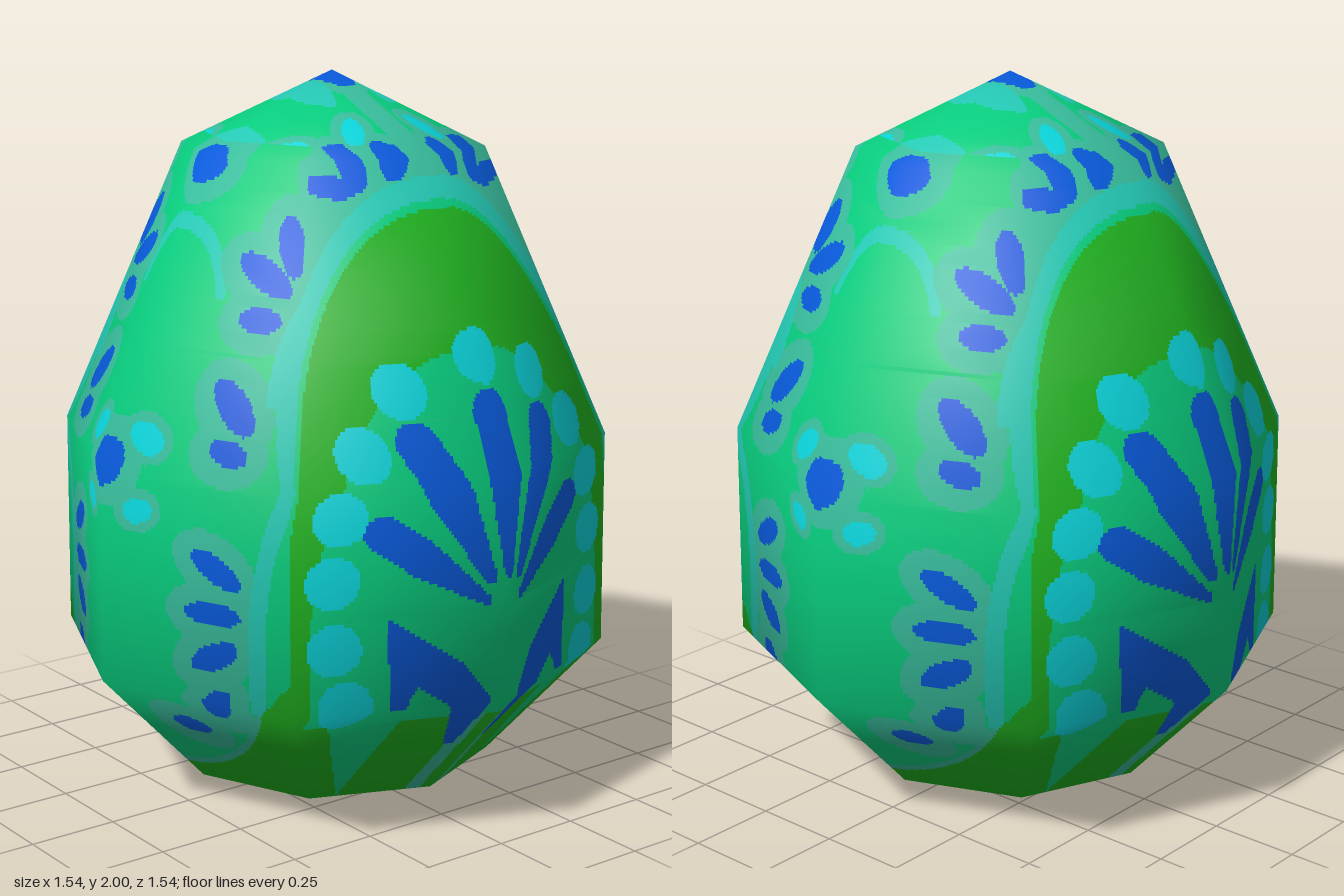
import * as THREE from 'three';

// Egg outline, bottom to top: [radius, height], turned in eight flat sectors
const PROFILE = [[0, 0], [0.45, 0.065], [0.77, 0.41], [0.765, 1.01], [0.42, 1.8], [0, 2]];
const SECTORS = 8, COLS = 80, STEP = 0.01;

// Colours, one mesh per painted layer
const PAINT = {
  shell: ['baseGreen', 0x08cc7e],
  archBand: ['grassGreen', 0x20b220],
  blueLeaves: ['blue', 0x085adb],
  cyanDots: ['cyan', 0x0ad4da],
  leafHalo: ['dullTeal', 0x38bd9c],
  archRim: ['aqua', 0x24c8b4],
};

// Spots are [u, v, half length, half width, angle in degrees]
const SIDE_LEAVES = [
  [0, 1.775, 0.075, 0.047, 0], [0, 1.02, 0.065, 0.065, 0],
  [0.38, 1.77, 0.06, 0.033, 150],
  [0.33, 1.59, 0.085, 0.033, 118], [0.285, 1.515, 0.095, 0.034, 152], [0.31, 1.405, 0.06, 0.032, 175],
  [0.32, 1.19, 0.09, 0.038, 138], [0.345, 1.08, 0.058, 0.03, 165],
  [0.335, 0.775, 0.08, 0.034, 148], [0.325, 0.655, 0.08, 0.032, 180],
  [0.33, 0.54, 0.073, 0.034, 208], [0.33, 0.405, 0.058, 0.033, 225],
  [0.17, 0.3, 0.052, 0.029, 180],
];
const SIDE_DOTS = [[0.11, 1.09, 0.058, 0.035, 150], [0.11, 0.9, 0.045, 0.033, 20]];
const TOP_LEAVES = [[0, 0, 0.08, 0.05, 90], [0.1, 0.36, 0.06, 0.036, 80], [0.18, 0.325, 0.07, 0.031, 120]];
const TOP_DOTS = [[0.12, 0.25, 0.06, 0.03, 60], [0.3, 0.2, 0.06, 0.035, 130]];
const TOP_ARCS = [[0.1, 0, 0.14, 0.045, 90], [0.32, 0, 0.13, 0.035, 90]];
const FRONT_LEAVES = [[0.09, 1.8, 0.06, 0.036, 110], [0.2, 1.79, 0.07, 0.034, 80], [0.265, 1.735, 0.065, 0.03, 10], [0.4, 1.78, 0.05, 0.02, 80]];
const FRONT_DOTS = [[0, 1.31], [0.222, 1.235], [0.348, 1.085], [0.42, 0.93], [0.44, 0.765], [0.437, 0.585], [0.41, 0.43]]
  .map(([u, v]) => [u, v, 0.07, 0.068, 90]);
// Fan of petals: [foot u, foot v, tip u, tip v, half width]
const PETALS = [[0, 0.76, 0, 1.175, 0.053], [0.045, 0.745, 0.208, 1.105, 0.054], [0.058, 0.69, 0.315, 0.885, 0.048]];
const LOWER_PETAL = [[0.305, 0.66], [0.3, 0.41], [0.26, 0.415], [0.23, 0.47], [0.14, 0.4], [0.075, 0.25], [0.05, 0.25], [0.045, 0.42], [0.12, 0.525]];

const inSpots = (list, u, v, grow = 0) => list.some(([cu, cv, a, b, deg]) => {
  const t = deg * Math.PI / 180, c = Math.cos(t), s = Math.sin(t);
  const p = ((u - cu) * c + (v - cv) * s) / (a + grow);
  const q = ((v - cv) * c - (u - cu) * s) / (b + grow);
  return p * p + q * q < 1;
});

const inPetals = (u, v) => PETALS.some(([u0, v0, u1, v1, w]) => {
  const du = u1 - u0, dv = v1 - v0;
  const t = THREE.MathUtils.clamp(((u - u0) * du + (v - v0) * dv) / (du * du + dv * dv), 0, 1);
  return Math.hypot(u - u0 - du * t, v - v0 - dv * t) < w * (0.27 + 0.73 * Math.min(1, t * 1.7));
});

const inPolygon = (poly, u, v) => poly.reduce((inside, [ua, va], i) => {
  const [ub, vb] = poly[(i + 1) % poly.length];
  return (va > v) !== (vb > v) && u < ua + (v - va) / (vb - va) * (ub - ua) ? !inside : inside;
}, false);

// Crown: leaves, dots, pale arcs and the thin seam stripe
function paintCrown(x, z) {
  if (inSpots(TOP_LEAVES, x, z)) return 'blueLeaves';
  if (inSpots(TOP_DOTS, x, z)) return 'cyanDots';
  if (inSpots(TOP_ARCS, x, z)) return 'archRim';
  if (x < 0.04 && z > 0.1) return 'leafHalo';
  if (inSpots(TOP_LEAVES, x, z, 0.035) || inSpots(TOP_DOTS, x, z, 0.03)) return 'leafHalo';
  return z > 0.33 ? 'leafHalo' : 'shell';
}

// Panel inside the arch: petal fan, ring of dots and ragged lower edge
function paintPanel(x, y) {
  if (inPetals(x, y) || inPolygon(LOWER_PETAL, x, y)) return 'blueLeaves';
  if (inSpots(FRONT_DOTS, x, y)) return 'cyanDots';
  if (y < 0.37) return x > 0.25 && x < 0.27 + 0.6 * (y - 0.1) ? 'shell' : 'archBand';
  return Math.hypot(x / 0.495, Math.max(0, y - 0.6) / 0.73) < 1 ? 'shell' : 'archBand';
}

// Chooses the paint at a point of the shell; the pattern mirrors in x and z
function paintAt(px, y, pz, r) {
  const x = Math.abs(px), z = Math.abs(pz), front = z >= x;
  if (y > 1.83) return paintCrown(x, z);
  // Pair of stem stripes running under the egg
  if (y < 0.37 && x > 0.03 && x < 0.07 && !inPolygon(LOWER_PETAL, x, y)) return 'leafHalo';
  const spread = y < 0.41 ? x * 0.77 / Math.max(r, 0.01) : x;
  const arch = Math.hypot(spread / 0.56, Math.max(0, y - 0.6) / 1.075);
  const hem = y - 0.12 - 1.15 * Math.pow(z, 1.8);
  if (front && arch < 1) return paintPanel(x, y);
  if (hem < 0) return 'archBand';
  if (front) {
    if (inSpots(FRONT_LEAVES, x, y)) return 'blueLeaves';
  } else {
    if (inSpots(SIDE_LEAVES, z, y)) return 'blueLeaves';
    if (inSpots(SIDE_DOTS, z, y)) return 'cyanDots';
  }
  // Rim of the arch, wider towards its top
  if (arch < 1.02) return 'shell';
  if (arch < (y > 1.2 ? 1.075 : 1.055) && y > 0.4) return 'archRim';
  if (front || hem < 0.02) return 'leafHalo';
  if (inSpots(SIDE_LEAVES, z, y, 0.055) || inSpots(SIDE_DOTS, z, y, 0.025)) return 'leafHalo';
  // Pale arc over the bare oval of the side
  const oval = Math.hypot(z / 0.2, (y - 1.25) / 0.36);
  return y > 1.45 && oval > 1 && oval < 1.12 ? 'archRim' : 'shell';
}

// Smooth outline normals [outward, up] at each ring
const ringNormals = PROFILE.map((_, i) => {
  if (i === 0) return [0, -1];
  if (i === PROFILE.length - 1) return [0, 1];
  const n = new THREE.Vector2();
  for (const k of [i - 1, i]) {
    const [r0, y0] = PROFILE[k], [r1, y1] = PROFILE[k + 1];
    n.add(new THREE.Vector2(y1 - y0, r0 - r1).normalize());
  }
  n.normalize();
  return [n.x, n.y];
});

export function createModel() {
  const group = new THREE.Group();
  group.name = 'paintedEgg';
  const layers = {};
  for (const key of Object.keys(PAINT)) layers[key] = { position: [], normal: [] };
  const mix = THREE.MathUtils.lerp;

  for (let b = 0; b < PROFILE.length - 1; b++) {
    const [r0, y0] = PROFILE[b], [r1, y1] = PROFILE[b + 1];
    const [n0, m0] = ringNormals[b], [n1, m1] = ringNormals[b + 1];
    const rows = Math.ceil(Math.hypot(r1 - r0, y1 - y0) / STEP);
    for (let s = 0; s < SECTORS; s++) {
      const a0 = s * 2 * Math.PI / SECTORS, a1 = (s + 1) * 2 * Math.PI / SECTORS;
      const point = (u, v) => {
        const sx = mix(Math.sin(a0), Math.sin(a1), u), cz = mix(Math.cos(a0), Math.cos(a1), u);
        const r = mix(r0, r1, v), n = mix(n0, n1, v);
        const normal = new THREE.Vector3(sx * n, mix(m0, m1, v), cz * n).normalize();
        return { p: [sx * r, mix(y0, y1, v), cz * r], n: normal.toArray(), r };
      };
      for (let j = 0; j < rows; j++) {
        const v0 = j / rows, v1 = (j + 1) / rows;
        const paint = (i) => {
          const { p, r } = point((i + 0.5) / COLS, (v0 + v1) / 2);
          return paintAt(p[0], p[1], p[2], r);
        };
        // Neighbouring cells of one colour become one strip
        let start = 0, current = paint(0);
        for (let i = 1; i <= COLS; i++) {
          const next = i < COLS ? paint(i) : null;
          if (next === current) continue;
          const A = point(start / COLS, v0), B = point(i / COLS, v0);
          const C = point(i / COLS, v1), D = point(start / COLS, v1);
          for (const corner of [A, B, C, A, C, D]) {
            layers[current].position.push(...corner.p);
            layers[current].normal.push(...corner.n);
          }
          start = i;
          current = next;
        }
      }
    }
  }

  for (const [key, [colourName, color]] of Object.entries(PAINT)) {
    const geometry = new THREE.BufferGeometry();
    for (const name of ['position', 'normal']) {
      geometry.setAttribute(name, new THREE.Float32BufferAttribute(layers[key][name], 3));
    }
    const material = new THREE.MeshStandardMaterial({ color });
    material.name = colourName;
    const mesh = new THREE.Mesh(geometry, material);
    mesh.name = key;
    group.add(mesh);
  }
  return group;
}
